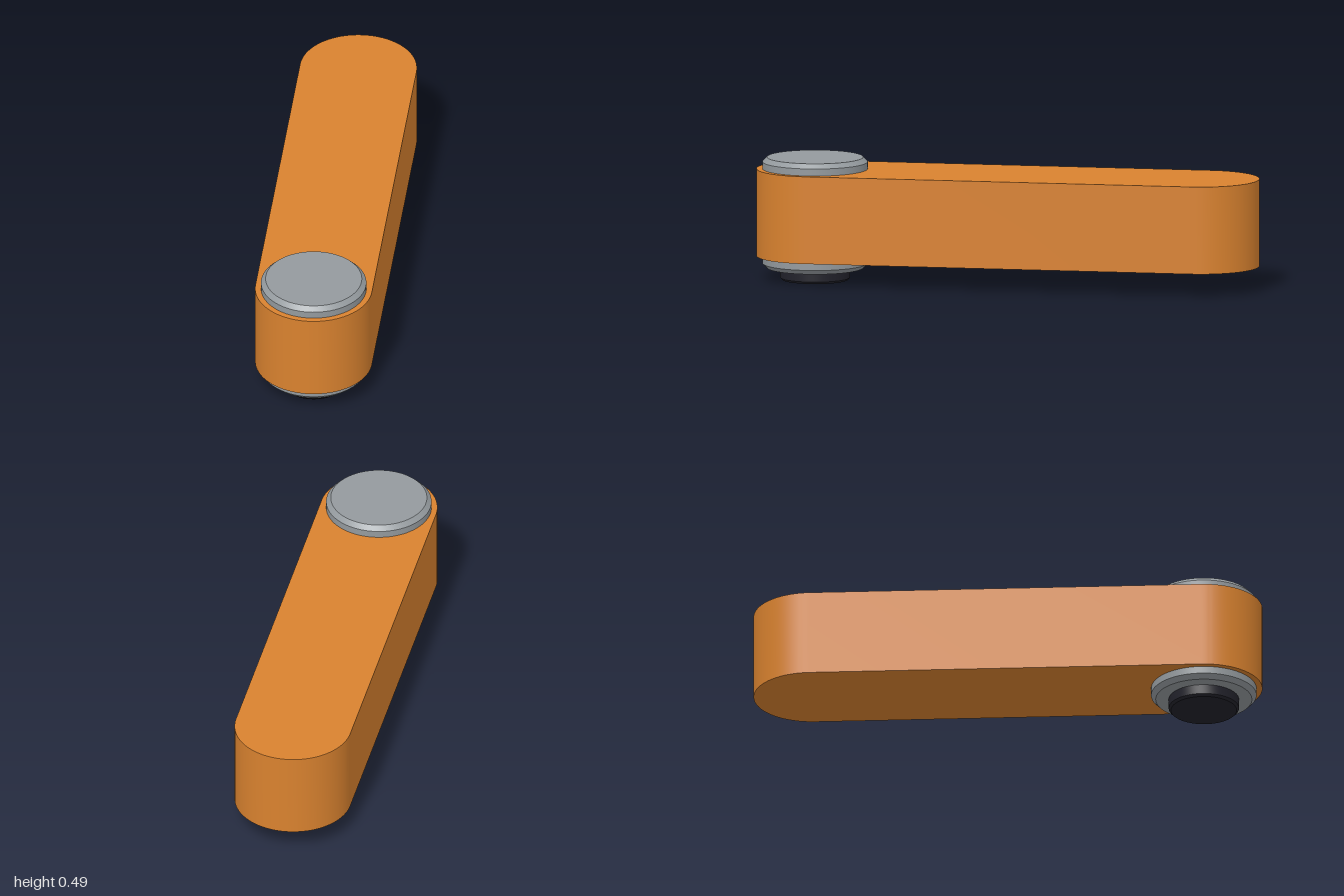
import * as THREE from 'three';
import { toCreasedNormals } from 'three/addons/utils/BufferGeometryUtils.js';

const PIVOT_Z = 0.77;

function material(name, color) {
  const m = new THREE.MeshStandardMaterial({ color });
  m.name = name;
  return m;
}

// Upright disc from y0 to y1 with a 45 degree chamfer on both rims
function chamferedDisc(name, radius, y0, y1, chamfer, mat) {
  const profile = [
    [0, y0], [radius - chamfer, y0], [radius, y0 + chamfer],
    [radius, y1 - chamfer], [radius - chamfer, y1], [0, y1],
  ].map(([r, y]) => new THREE.Vector2(r, y));
  const mesh = new THREE.Mesh(toCreasedNormals(new THREE.LatheGeometry(profile, 72), 0.5), mat);
  mesh.name = name;
  mesh.position.z = PIVOT_Z;
  return mesh;
}

export function createModel() {
  const orange = material('orange', 0xd9822f);
  const grey = material('grey', 0x949a9e);
  const black = material('black', 0x22222b);

  const model = new THREE.Group();
  model.name = 'linkArm';

  // Arm: a slot outline with round ends, extruded upwards
  const r = 0.23, y0 = 0.094, y1 = 0.44;
  const outline = new THREE.Shape();
  outline.absarc(0, PIVOT_Z, r, 0, Math.PI, false);
  outline.absarc(0, -PIVOT_Z, r, Math.PI, Math.PI * 2, false);
  outline.closePath();
  const armGeometry = new THREE.ExtrudeGeometry(outline, {
    depth: y1 - y0, bevelEnabled: false, curveSegments: 36,
  });
  armGeometry.rotateX(-Math.PI / 2);
  armGeometry.translate(0, y0, 0);
  const arm = new THREE.Mesh(toCreasedNormals(armGeometry, 0.5), orange);
  arm.name = 'arm';
  model.add(arm);

  // Joint drum passing through the arm, and the shaft stub beneath it
  model.add(chamferedDisc('jointDrum', 0.207, 0.047, 0.486, 0.018, grey));
  model.add(chamferedDisc('shaftStub', 0.138, 0, 0.07, 0.009, black));

  return model;
}
